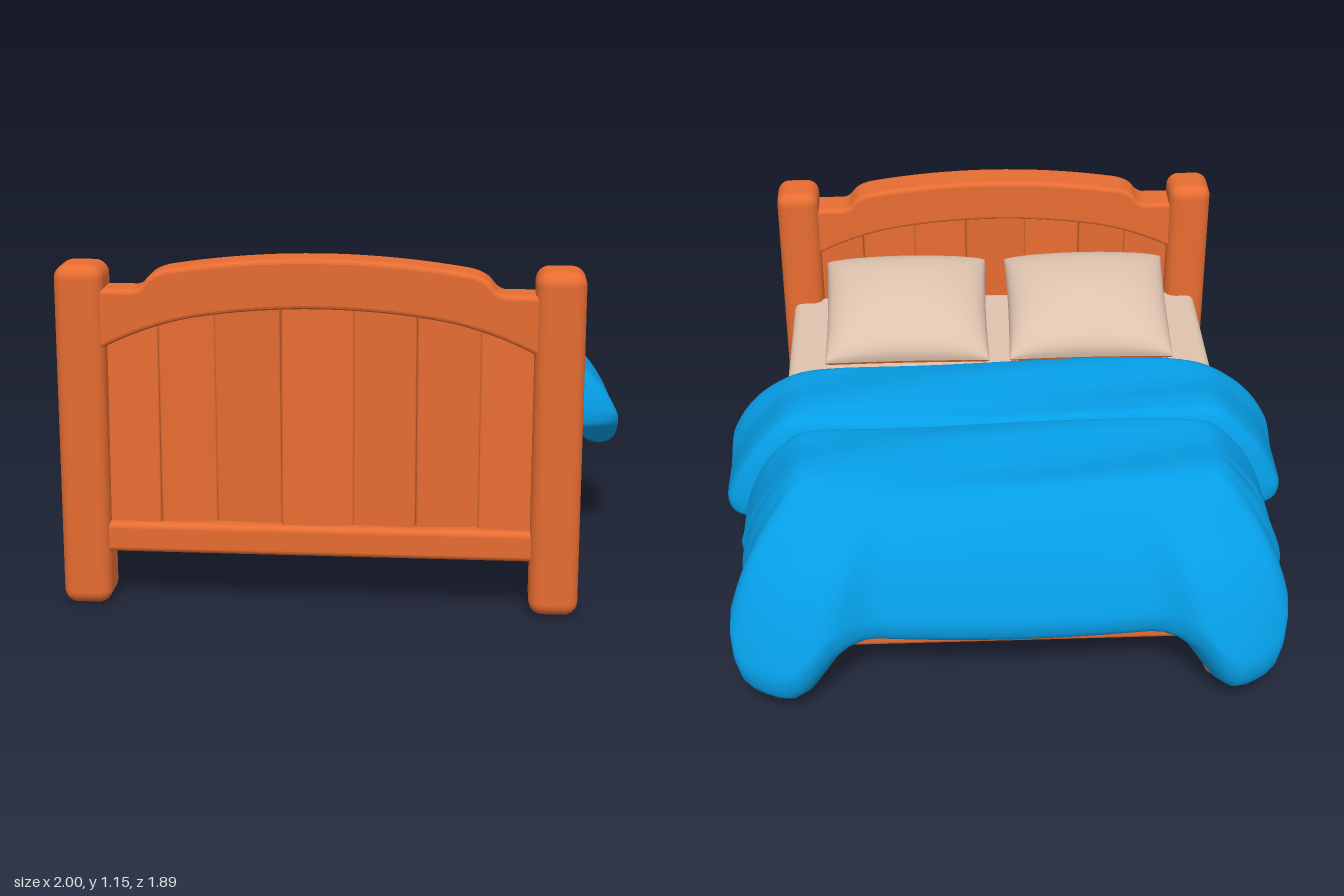
import * as THREE from 'three';
import { RoundedBoxGeometry } from 'three/addons/geometries/RoundedBoxGeometry.js';

const mat = (name, color, side = THREE.FrontSide) => {
  const m = new THREE.MeshStandardMaterial({ color, side });
  m.name = name;
  return m;
};

export function createModel() {
  const bed = new THREE.Group();
  bed.name = 'bed';
  const wood = mat('orange wood', 0xe86d32);
  const linen = mat('beige linen', 0xdec3ae);
  const blue = mat('blue blanket', 0x069fe8, THREE.DoubleSide);

  const add = (name, geometry, material, x = 0, y = 0, z = 0) => {
    const mesh = new THREE.Mesh(geometry, material);
    mesh.name = name;
    mesh.position.set(x, y, z);
    bed.add(mesh);
    return mesh;
  };
  // Rounded box given by its limits on each axis
  const block = (name, material, [x0, x1], [y0, y1], [z0, z1], r = 0.02) =>
    add(name, new RoundedBoxGeometry(x1 - x0, y1 - y0, z1 - z0, 4, r), material,
      (x0 + x1) / 2, (y0 + y1) / 2, (z0 + z1) / 2);

  // Posts, legs and side rails
  for (const s of [-1, 1]) {
    const span = (a, b) => (s > 0 ? [a, b] : [-b, -a]);
    block('headPost', wood, span(0.675, 0.832), [0, 1.12], [0.762, 0.938], 0.045);
    block('footLeg', wood, span(0.67, 0.8), [0, 0.36], [-0.765, -0.635], 0.04);
    block('sideRail', wood, span(0.69, 0.78), [0.17, 0.32], [-0.68, 0.8]);
  }
  block('footRail', wood, [-0.7, 0.7], [0.17, 0.32], [-0.74, -0.66]);
  block('headRail', wood, [-0.7, 0.7], [0.175, 0.275], [0.8, 0.91]);

  // Arched top of the headboard
  const arch = new THREE.Shape();
  arch.moveTo(-0.7, 0.86);
  arch.lineTo(-0.7, 1.03);
  arch.lineTo(-0.58, 1.03);
  arch.quadraticCurveTo(-0.55, 1.035, -0.53, 1.065);
  arch.quadraticCurveTo(-0.51, 1.09, -0.46, 1.098);
  arch.quadraticCurveTo(0, 1.172, 0.46, 1.098);
  arch.quadraticCurveTo(0.51, 1.09, 0.53, 1.065);
  arch.quadraticCurveTo(0.55, 1.035, 0.58, 1.03);
  arch.lineTo(0.7, 1.03);
  arch.lineTo(0.7, 0.86);
  arch.quadraticCurveTo(0.53, 0.95, 0.36, 0.975);
  arch.quadraticCurveTo(0, 1.03, -0.36, 0.975);
  arch.quadraticCurveTo(-0.53, 0.95, -0.7, 0.86);
  add('headboardArch', new THREE.ExtrudeGeometry(arch, {
    depth: 0.09, bevelSize: 0.014, bevelThickness: 0.02, bevelSegments: 3, curveSegments: 20,
  }), wood, 0, 0, 0.81);

  // Headboard planks, each turned slightly
  const seams = [-0.69, -0.51, -0.33, -0.12, 0.11, 0.31, 0.51, 0.69];
  for (let i = 0; i < seams.length - 1; i++) {
    const plank = block('headboardPlank', wood, [seams[i], seams[i + 1]], [0.2, 1.0], [0.83, 0.875], 0.008);
    plank.rotation.y = (i % 2 ? 1 : -1) * 0.06;
    plank.rotation.x = (i % 3 - 1) * 0.025;
  }

  // Slats and the board above them
  for (let i = 0; i < 10; i++) {
    const z = -0.56 + i * 0.137;
    block('slat', wood, [-0.7, 0.7], [0.225, 0.265], [z - 0.055, z + 0.055], 0.015);
  }
  block('baseBoard', wood, [-0.72, 0.72], [0.265, 0.29], [-0.67, 0.8], 0.005);

  // Mattress: bare end in linen, the end under the blanket in wood colour
  block('mattressHead', linen, [-0.79, 0.79], [0.27, 0.65], [0.08, 0.82], 0.03);
  block('mattressFoot', wood, [-0.77, 0.77], [0.275, 0.62], [-0.62, 0.14], 0.04);

  // Pillows, a puffed sheet above and below the seam
  const pillowHalf = () => {
    const g = new THREE.PlaneGeometry(2, 2, 28, 28).rotateX(-Math.PI / 2);
    const p = g.attributes.position;
    for (let i = 0; i < p.count; i++) {
      const u = Math.sin(p.getX(i) * Math.PI / 2), v = Math.sin(p.getZ(i) * Math.PI / 2);
      const puff = Math.sqrt(Math.max(0, (1 - u * u) * (1 - v * v)));
      p.setXYZ(i, 0.308 * u * (1 - 0.02 * (1 - v * v)), 0.128 * Math.pow(puff, 0.8),
        0.258 * v * (1 - 0.02 * (1 - u * u)));
    }
    g.computeVertexNormals();
    return g;
  };
  for (const s of [-1, 1]) {
    const top = add('pillowTop', pillowHalf(), linen, s * 0.345, 0.735, 0.55);
    const under = add('pillowUnderside', pillowHalf().rotateX(Math.PI), wood, s * 0.345, 0.735, 0.55);
    top.rotation.x = under.rotation.x = -0.3;
  }

  // Blanket: rings grow from the middle, fall over the edge and curl under the hem
  const profile = new THREE.SplineCurve([
    [-1, 0], [-0.6, 0], [-0.25, 0], [0, 0.015], [0.2, 0.07], [0.4, 0.18], [0.64, 0.35], [0.82, 0.53],
    [0.96, 0.73], [1, 0.84], [0.95, 0.95], [0.8, 1], [0.6, 0.97], [0.35, 0.8], [0, 0.6],
  ].map(([o, h]) => new THREE.Vector2(o, h))).getPoints(64);

  const smooth = THREE.MathUtils.smoothstep;
  const drape = (name, o) => {
    const N = 160, pos = [], idx = [];
    profile.forEach(({ x: off, y: fall }, j) => {
      for (let i = 0; i < N; i++) {
        const a = i / N * Math.PI * 2, c = Math.cos(a), s = Math.sin(a), foot = s < 0;
        // A high power makes the corners of that end squarer
        const e = foot ? o.squareBack : o.squareFront;
        const n = Math.pow(Math.abs(c) ** e + Math.abs(s) ** e, -1 / e);
        const ux = c * n, uz = s * n;
        const corner = foot ? smooth(Math.abs(Math.sin(2 * a)), 0.82, 1) : 0;
        const core = Math.min(1, 1 + off), out = Math.max(0, off);
        // A low power makes that end stand up steeply
        const outZ = Math.pow(out, foot ? o.backPower : 0.35);
        const ripple = 1 + o.ripple * (Math.sin(a * 9 + 1) + 0.5 * Math.sin(a * 17));
        const reachX = (o.reachX + corner * o.lobe * 0.35) * (foot ? ripple : 1);
        const reachZ = (foot ? o.back : o.front) + corner * o.lobe;
        const x = ux * (o.coreX * core + reachX * out);
        const z = o.z + uz * (o.coreZ * core + reachZ * outZ);
        const hem = o.hem - corner ** 4 * o.drop - (foot ? o.footDrop * s * s : 0)
          + o.frontRise * smooth(s, 0, 0.8);
        const wave = 0.01 * Math.sin(x * 4 + z * 16) * Math.max(0, 1 - fall);
        pos.push(x, o.top - (o.top - hem) * fall + wave, z);
        if (j > 0) {
          const k = (i + 1) % N, p = (j - 1) * N, q = j * N;
          idx.push(p + i, p + k, q + i, p + k, q + k, q + i);
        }
      }
    });
    const g = new THREE.BufferGeometry();
    g.setAttribute('position', new THREE.Float32BufferAttribute(pos, 3));
    g.setIndex(idx);
    g.computeVertexNormals();
    add(name, g, blue);
  };
  drape('blanket', {
    z: -0.42, coreX: 0.7, coreZ: 0.17, reachX: 0.225, front: 0.09, back: 0.25, backPower: 1,
    squareFront: 14, squareBack: 5, top: 0.735, hem: 0.33, frontRise: 0,
    footDrop: 0.09, drop: 0.21, lobe: 0.145, ripple: 0.05,
  });
  drape('blanketFold', {
    z: 0.02, coreX: 0.73, coreZ: 0.125, reachX: 0.27, front: 0.11, back: 0.11, backPower: 0.3,
    squareFront: 6, squareBack: 14, top: 0.73, hem: 0.33, frontRise: 0.11,
    footDrop: 0, drop: 0, lobe: 0, ripple: 0,
  });
  return bed;
}
